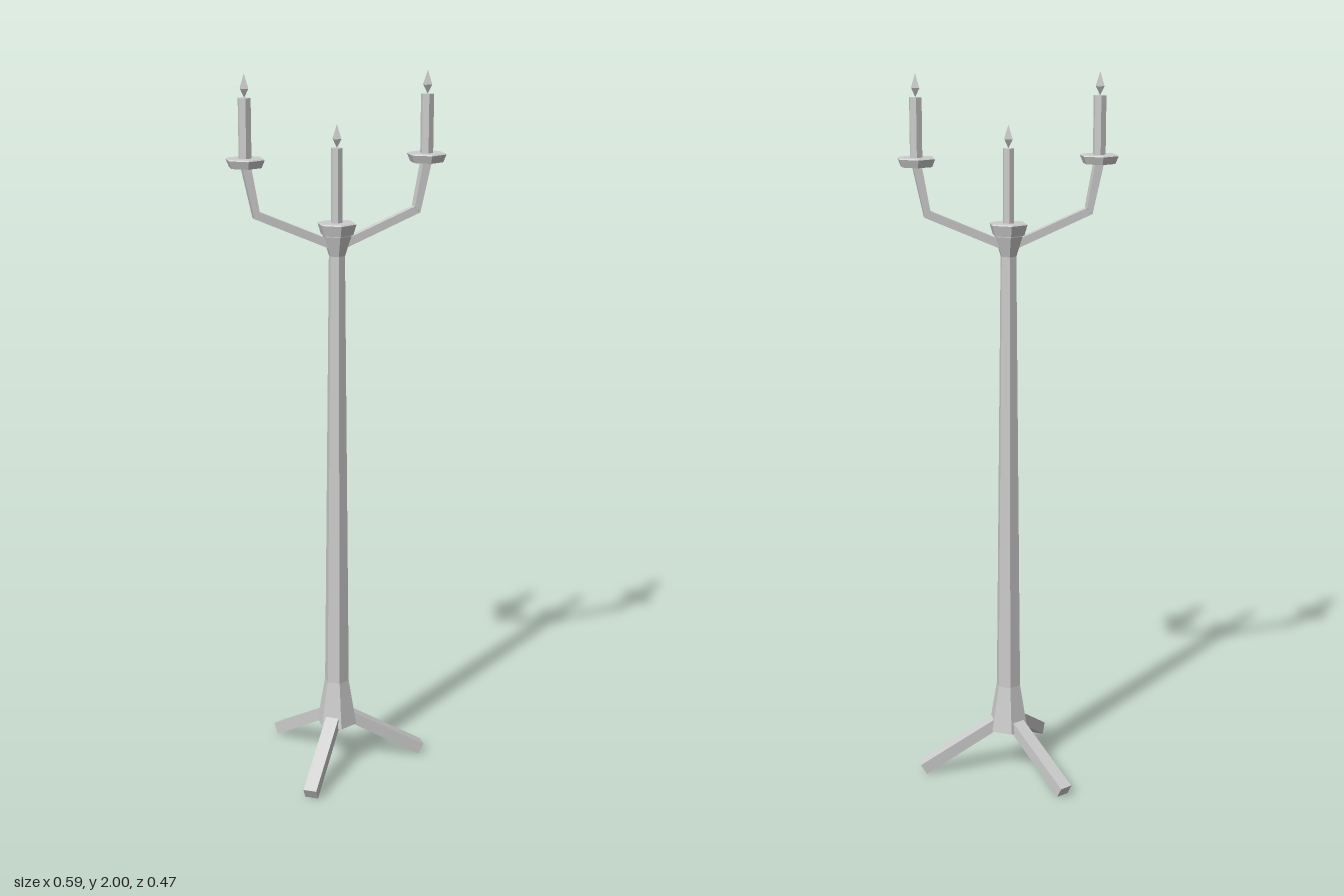
import * as THREE from 'three';

const material = new THREE.MeshStandardMaterial({ color: 0xcccccc, flatShading: true });

function add(parent, name, geometry) {
  const mesh = new THREE.Mesh(geometry, material);
  mesh.name = name;
  parent.add(mesh);
  return mesh;
}

// Faceted turned part from [radius, height] pairs, listed bottom to top
function turned(profile, sides = 6) {
  return new THREE.LatheGeometry(profile.map(([r, y]) => new THREE.Vector2(r, y)), sides);
}

// Bar with an outline in the x-y plane, centred on z
function bar(outline, width) {
  const shape = new THREE.Shape(outline.map(([x, y]) => new THREE.Vector2(x, y)));
  const geometry = new THREE.ExtrudeGeometry(shape, { depth: width, bevelEnabled: false });
  return geometry.translate(0, 0, -width / 2);
}

// Drip pan, candle and flame; the origin is the top of the pan
function createCandle(name, height, radius, panDepth) {
  const group = new THREE.Group();
  group.name = name;
  add(group, 'dripPan', turned([[0, -panDepth], [0.046, -panDepth], [0.055, -0.003], [0.051, 0], [0, 0]]));
  add(group, 'candle', turned([[radius, -0.005], [radius, height], [0, height]]));
  const flame = add(group, 'flame', turned([[0, 0], [0.014, 0.024], [0, 0.063]], 4));
  flame.position.y = height;
  flame.rotation.y = Math.PI / 4;
  return group;
}

export function createModel() {
  const model = new THREE.Group();
  model.name = 'candelabrum';

  // Tapered hexagonal column with flared foot and neck
  add(model, 'column', turned([
    [0, 0.125], [0.059, 0.125], [0.036, 0.26], [0.023, 1.51], [0.041, 1.565], [0.041, 1.58], [0, 1.58],
  ]));

  // Three splayed legs
  for (let i = 0; i < 3; i++) {
    const leg = add(model, 'leg', bar([[0.02, 0.135], [0.243, 0], [0.26, 0.03], [0.02, 0.172]], 0.038));
    leg.rotation.y = (i * Math.PI * 2) / 3;
  }

  // Centre candle
  const centre = createCandle('centreCandle', 0.2, 0.016, 0.032);
  centre.position.y = 1.6;
  model.add(centre);

  // Two bent arms, each carrying a candle
  for (const [side, turn] of [['left', 0], ['right', Math.PI]]) {
    const arm = new THREE.Group();
    arm.name = side + 'Arm';
    arm.rotation.y = turn;
    add(arm, 'lowerArm', bar([[0.01, 1.526], [0.228, 1.62], [0.213, 1.637], [0.01, 1.55]], 0.023));
    add(arm, 'upright', bar([[0.213, 1.637], [0.228, 1.62], [0.26, 1.765], [0.236, 1.765]], 0.032));
    const candle = createCandle(side + 'Candle', 0.157, 0.018, 0.024);
    candle.position.set(0.248, 1.78, 0);
    candle.rotation.y = -turn;
    arm.add(candle);
    model.add(arm);
  }

  return model;
}
